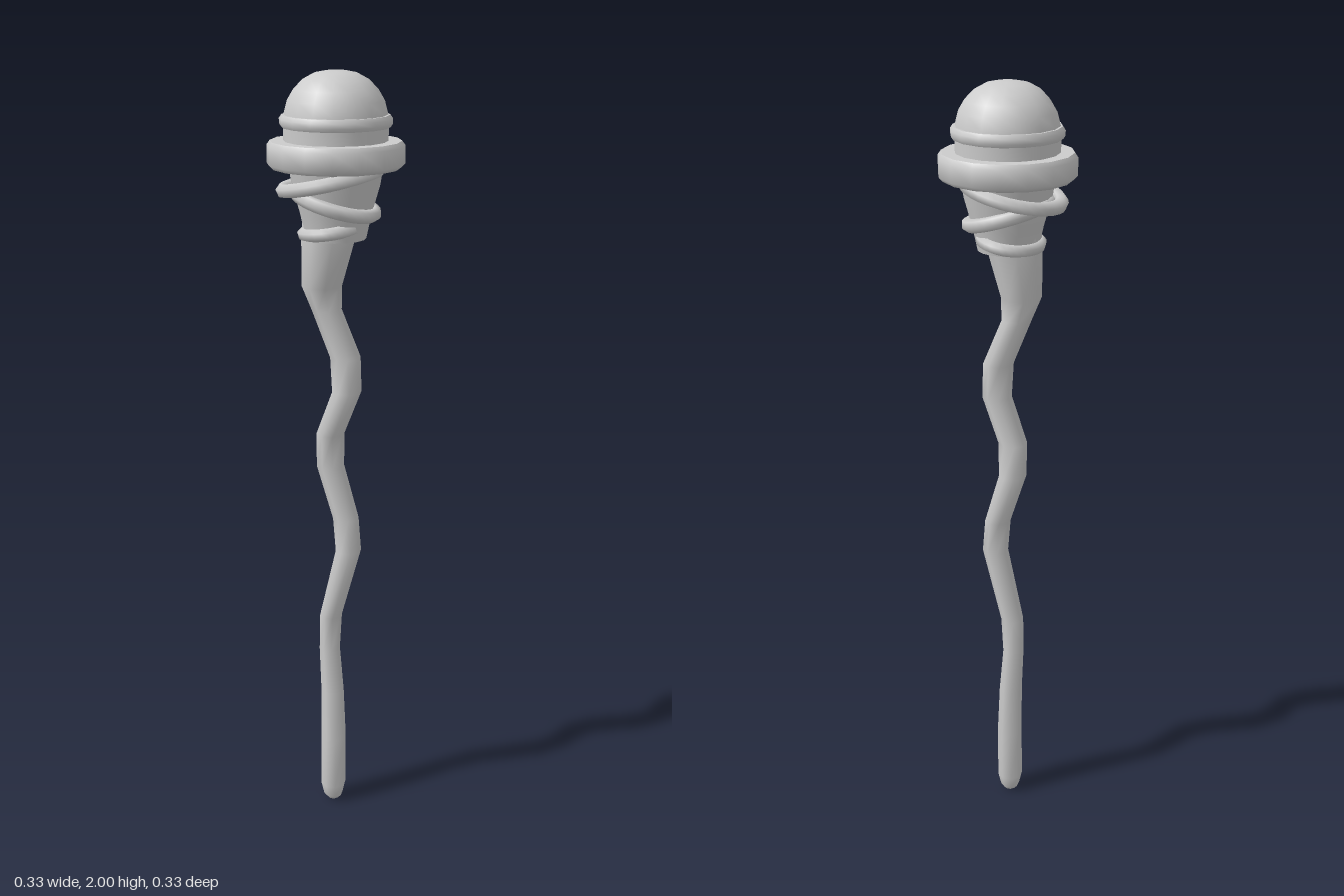
import * as THREE from 'three';
import { toCreasedNormals } from 'three/addons/utils/BufferGeometryUtils.js';

const grey = new THREE.MeshStandardMaterial({ color: 0xcccccc });

function addMesh(group, name, geometry) {
  const mesh = new THREE.Mesh(geometry, grey);
  mesh.name = name;
  group.add(mesh);
  return mesh;
}

// Sixteen-sided turned part; profile runs from bottom to top as [radius, y]
function turned(profile, crease = 0.6) {
  const points = profile.map(([r, y]) => new THREE.Vector2(r, y));
  return toCreasedNormals(new THREE.LatheGeometry(points, 16, Math.PI / 16), crease);
}

// Skin over round horizontal sections [y, x, z, radius], listed upwards
function loft(sections, sides) {
  const positions = [], index = [];
  for (const [y, x, z, r] of sections) {
    for (let i = 0; i < sides; i++) {
      const a = ((i + 0.5) / sides) * Math.PI * 2;
      positions.push(x + r * Math.sin(a), y, z + r * Math.cos(a));
    }
  }
  for (let j = 0; j < sections.length - 1; j++) {
    for (let i = 0; i < sides; i++) {
      const a = j * sides + i, b = j * sides + ((i + 1) % sides);
      index.push(a, b, b + sides, a, b + sides, a + sides);
    }
  }
  const geometry = new THREE.BufferGeometry();
  geometry.setAttribute('position', new THREE.Float32BufferAttribute(positions, 3));
  geometry.setIndex(index);
  geometry.computeVertexNormals();
  return geometry;
}

// Closed cord around the cup, sloping from its left (+x) to its right end
function cord({ left, right, depth, thickness }) {
  const points = [];
  for (let i = 0; i < 16; i++) {
    const a = (i / 16) * Math.PI * 2, t = (Math.cos(a) + 1) / 2;
    points.push(new THREE.Vector3(
      THREE.MathUtils.lerp(right[0], left[0], t),
      THREE.MathUtils.lerp(right[1], left[1], t),
      depth * Math.sin(a)));
  }
  return new THREE.TubeGeometry(new THREE.CatmullRomCurve3(points, true), 32, thickness, 6, true);
}

export function createModel() {
  const model = new THREE.Group();
  model.name = 'staff';

  // Crooked wooden shaft with a rounded foot
  addMesh(model, 'shaft', loft([
    [0, -0.005, 0.008, 0.001],
    [0.003, -0.005, 0.008, 0.016],
    [0.015, -0.005, 0.008, 0.026],
    [0.05, -0.005, 0.008, 0.034],
    [0.2, -0.004, 0.008, 0.034],
    [0.34, -0.008, 0.004, 0.031],
    [0.47, -0.017, 0, 0.028],
    [0.57, -0.014, -0.002, 0.03],
    [0.77, 0.036, 0.006, 0.034],
    [0.86, 0.028, 0.003, 0.034],
    [1.0, -0.016, -0.007, 0.036],
    [1.09, -0.015, -0.002, 0.037],
    [1.21, 0.031, 0.008, 0.038],
    [1.3, 0.027, 0.008, 0.039],
    [1.42, -0.022, 0.006, 0.038],
    [1.48, -0.034, 0.006, 0.051],
    [1.6, -0.018, 0.002, 0.068],
    [1.68, -0.01, 0, 0.07],
  ], 8));

  // Flared cup that grips the head
  addMesh(model, 'cup', turned([
    [0, 1.6], [0.075, 1.6], [0.088, 1.66], [0.108, 1.73], [0.118, 1.79], [0, 1.79],
  ]));

  // Cords wound at different slopes around the cup
  const cords = [
    { left: [0.1, 1.765], right: [-0.13, 1.715], depth: 0.113, thickness: 0.018 },
    { left: [0.095, 1.66], right: [-0.1, 1.718], depth: 0.105, thickness: 0.017 },
    { left: [0.06, 1.632], right: [-0.078, 1.612], depth: 0.09, thickness: 0.016 },
  ];
  cords.forEach((c, i) => addMesh(model, 'cord' + (i + 1), cord(c)));

  // Wide collar with softened edges
  addMesh(model, 'collar', turned([
    [0.1, 1.772], [0.158, 1.772], [0.168, 1.782], [0.168, 1.825], [0.16, 1.836], [0.1, 1.836],
  ], 0.9));

  // Neck and thin lip under the dome
  addMesh(model, 'neck', turned([[0.127, 1.8], [0.127, 1.88]]));
  addMesh(model, 'lip', turned([
    [0.12, 1.868], [0.132, 1.868], [0.137, 1.876], [0.137, 1.888], [0.131, 1.897], [0.12, 1.897],
  ], 0.9));

  // Domed head
  addMesh(model, 'dome', turned([
    [0.127, 1.88], [0.125, 1.9], [0.117, 1.93], [0.102, 1.955],
    [0.08, 1.978], [0.052, 1.993], [0.026, 1.998], [0, 2],
  ], 0.8));

  return model;
}
